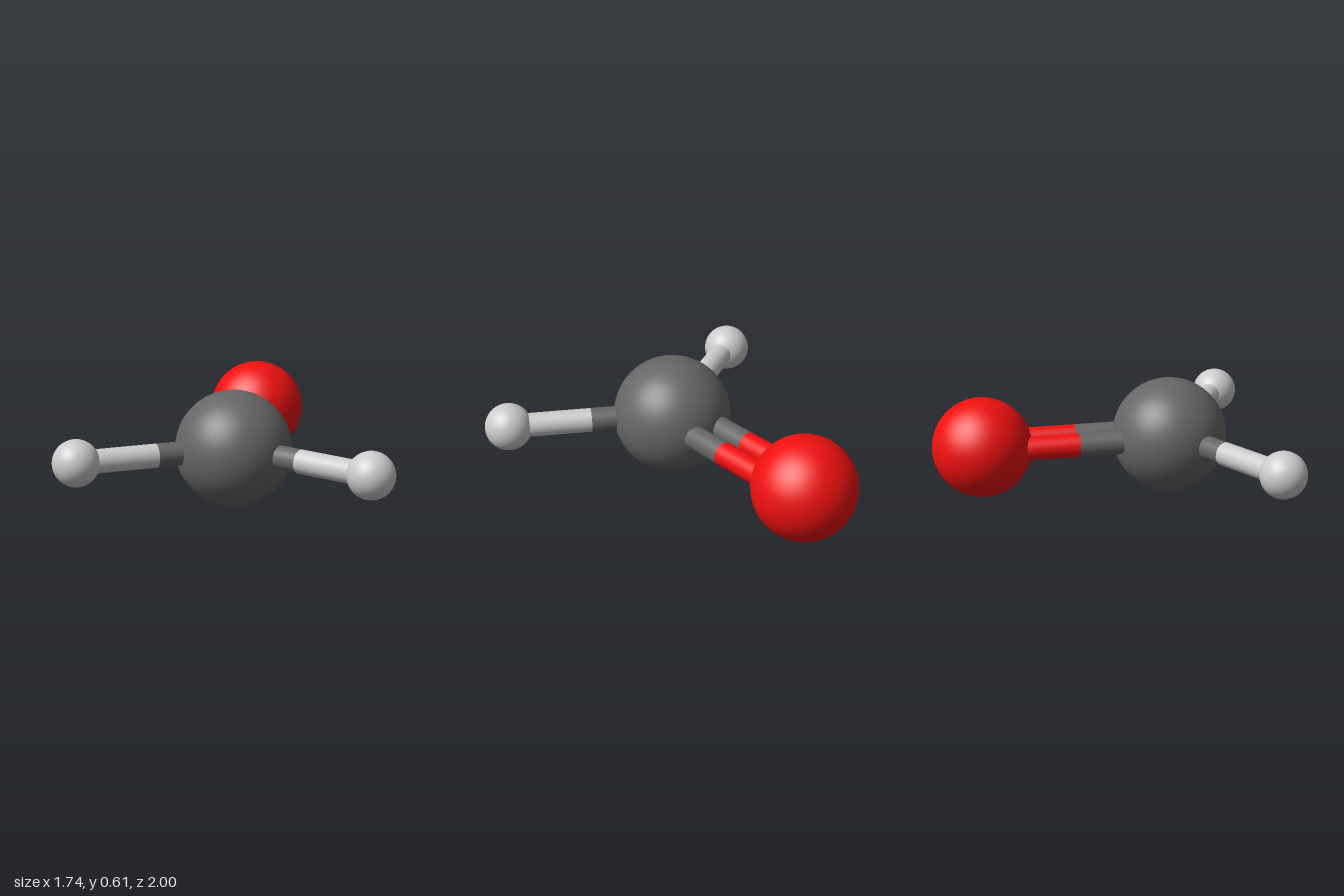
import * as THREE from 'three';

const BOND_RADIUS = 0.062;
const Y = 0.306;

export function createModel() {
  const model = new THREE.Group();
  const paint = (color) => new THREE.MeshStandardMaterial({ color });
  const dark = paint(0x666666), red = paint(0xf01010), pale = paint(0xcccccc);

  const atom = (name, x, z, radius, material) => {
    const mesh = new THREE.Mesh(new THREE.SphereGeometry(radius, 64, 40), material);
    mesh.name = name;
    mesh.position.set(x, Y, z);
    model.add(mesh);
    return mesh;
  };

  // Round rod between two points
  const rod = (name, from, to, material) => {
    const dir = to.clone().sub(from);
    const geometry = new THREE.CylinderGeometry(BOND_RADIUS, BOND_RADIUS, dir.length(), 32);
    const mesh = new THREE.Mesh(geometry, material);
    mesh.name = name;
    mesh.position.copy(from).add(to).multiplyScalar(0.5);
    mesh.quaternion.setFromUnitVectors(new THREE.Vector3(0, 1, 0), dir.normalize());
    return mesh;
  };

  // Bond whose halves take the colours of the atoms they join, shifted sideways
  const bond = (name, a, b, shift = 0) => {
    const side = b.position.clone().sub(a.position).normalize()
      .cross(new THREE.Vector3(0, 1, 0)).multiplyScalar(shift);
    const start = a.position.clone().add(side);
    const end = b.position.clone().add(side);
    const middle = start.clone().lerp(end, 0.5);
    const group = new THREE.Group();
    group.name = name;
    group.add(rod('innerHalf', start, middle, a.material), rod('outerHalf', middle, end, b.material));
    model.add(group);
  };

  // Atoms
  const carbon = atom('carbonAtom', 0.105, 0.134, 0.306, dark);
  const oxygen = atom('oxygenAtom', 0.605, -0.738, 0.262, red);
  const hydrogenRight = atom('rightHydrogenAtom', -0.75, 0.13, 0.122, pale);
  const hydrogenFront = atom('frontHydrogenAtom', 0.53, 0.876, 0.122, pale);

  // Single bonds, then the double bond
  bond('rightBond', carbon, hydrogenRight);
  bond('frontBond', carbon, hydrogenFront);
  for (const s of [-1, 1]) bond(s < 0 ? 'doubleBondRight' : 'doubleBondLeft', carbon, oxygen, s * 0.08);

  return model;
}
